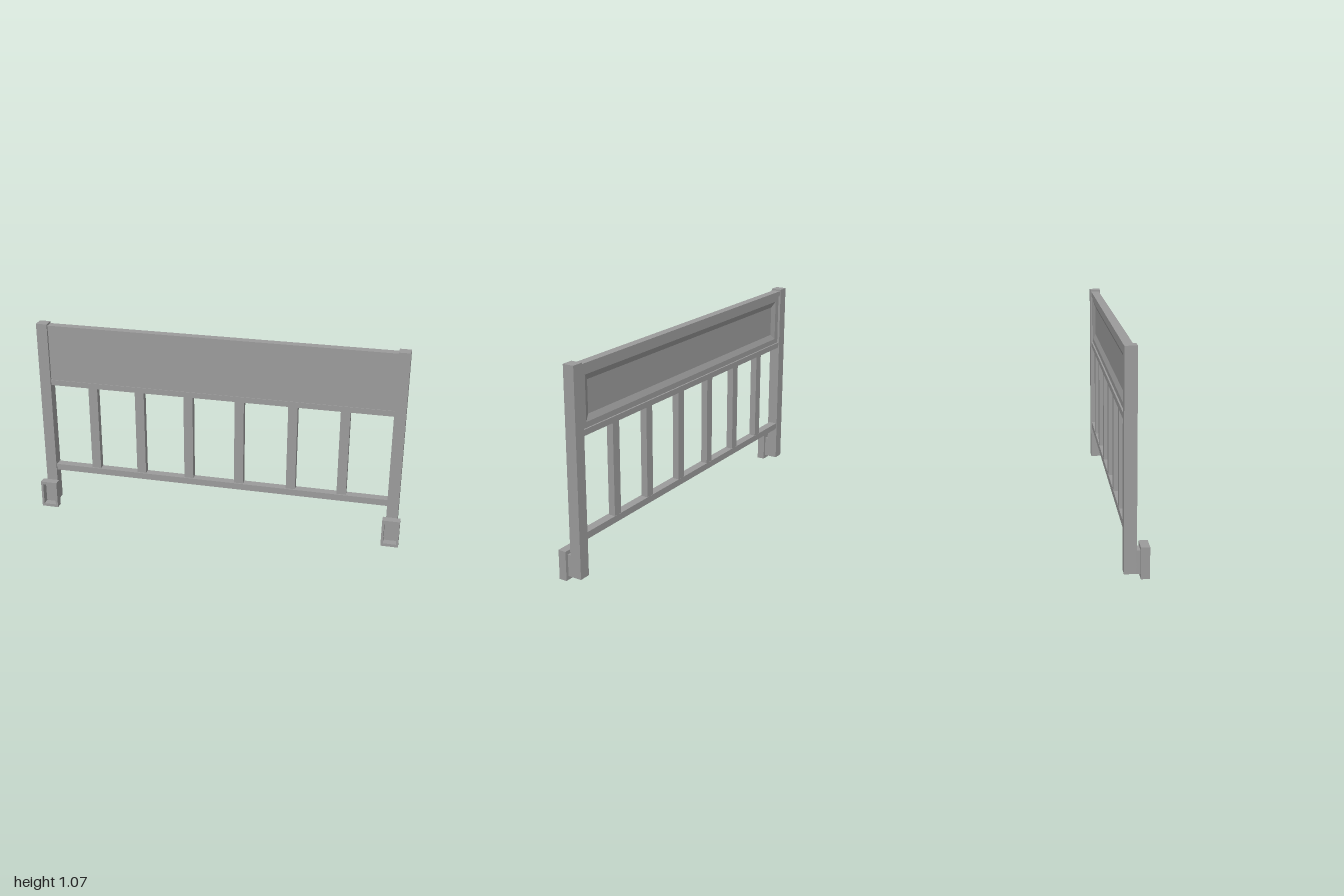
import * as THREE from 'three';

const material = new THREE.MeshStandardMaterial({ color: 0x9b9b9b, flatShading: true });

export function createModel() {
  const model = new THREE.Group();

  const add = (name, geometry, parent = model) => {
    const mesh = new THREE.Mesh(geometry, material);
    mesh.name = name;
    parent.add(mesh);
    return mesh;
  };

  // Box given by its limits on each axis
  const box = (name, [x0, x1], [y0, y1], [z0, z1], parent) => {
    const mesh = add(name, new THREE.BoxGeometry(x1 - x0, y1 - y0, z1 - z0), parent);
    mesh.position.set((x0 + x1) / 2, (y0 + y1) / 2, (z0 + z1) / 2);
  };

  // Skin over rectangular rings [halfWidth, halfHeight, z], running from front to back
  const rectLoft = (rings) => {
    const corners = [[1, 1], [-1, 1], [-1, -1], [1, -1]];
    const positions = [];
    const point = (r, i) => {
      const [w, h, z] = rings[r];
      const [sx, sy] = corners[i % 4];
      return [sx * w, sy * h, z];
    };
    for (let r = 0; r < rings.length - 1; r++) {
      for (let i = 0; i < 4; i++) {
        const a = point(r, i), b = point(r, i + 1), c = point(r + 1, i + 1), d = point(r + 1, i);
        if (rings[r + 1][0] > 0) positions.push(...a, ...d, ...c);
        if (rings[r][0] > 0) positions.push(...a, ...c, ...b);
      }
    }
    const geometry = new THREE.BufferGeometry();
    geometry.setAttribute('position', new THREE.Float32BufferAttribute(positions, 3));
    geometry.computeVertexNormals();
    return geometry;
  };

  // Posts with hollow mounting brackets at their feet
  for (const side of [-1, 1]) {
    const post = new THREE.Group();
    post.name = side > 0 ? 'leftPost' : 'rightPost';
    post.position.x = side * 0.954;
    model.add(post);
    box('postShaft', [-0.03, 0.03], [0.02, 1.066], [-0.059, 0], post);
    box('bracketNeck', [-0.03, 0.03], [0.02, 0.132], [-0.002, 0.017], post);
    const bracket = add('bracket', rectLoft([
      [0, 0, 0.018], [0.034, 0.06, 0.018], [0.034, 0.06, 0.058],
      [0.046, 0.076, 0.058], [0.046, 0.076, 0.016], [0, 0, 0.016],
    ]), post);
    bracket.position.y = 0.076;
  }

  // Horizontal rails
  const railX = [-0.93, 0.93];
  const railZ = [-0.054, -0.009];
  box('topRail', railX, [1.027, 1.057], railZ);
  box('middleRail', railX, [0.718, 0.748], railZ);
  box('bottomRail', railX, [0.205, 0.24], railZ);

  // Board with a shallow bevelled recess on its back
  const panel = add('panel', rectLoft([
    [0, 0, -0.013], [0.927, 0.142, -0.013], [0.927, 0.142, -0.046],
    [0.89, 0.112, -0.046], [0.86, 0.082, -0.034], [0, 0, -0.034],
  ]));
  panel.position.y = 0.888;

  // Upright slats
  for (const x of [-0.69, -0.428, -0.158, 0.12, 0.405, 0.678]) {
    box('slat', [x - 0.025, x + 0.025], [0.235, 0.725], [-0.053, -0.017]);
  }

  return model;
}
